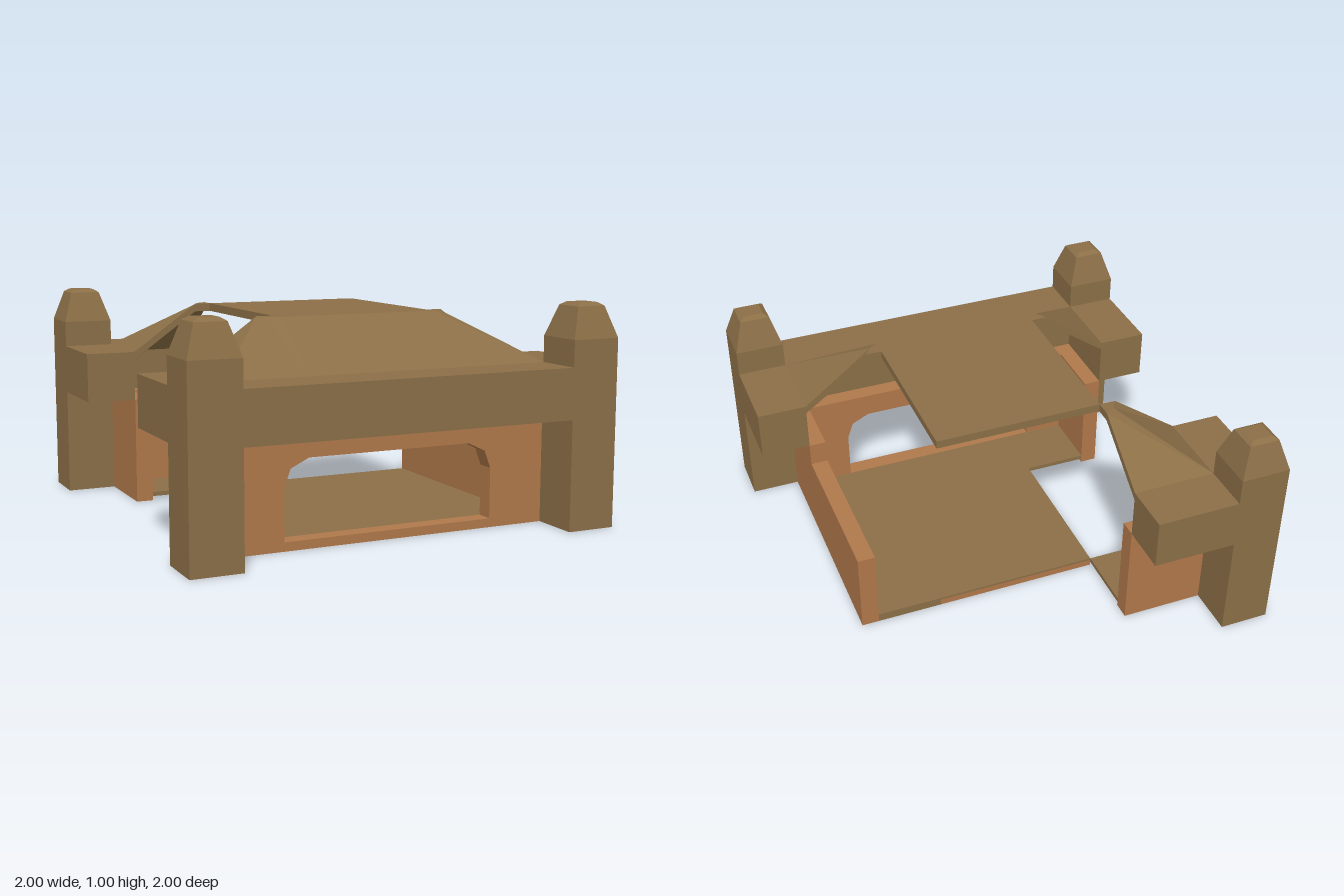
import * as THREE from 'three';

const brown = new THREE.MeshStandardMaterial({ color: 0x8b6f47, flatShading: true });
const clay = new THREE.MeshStandardMaterial({ color: 0xb0784a, flatShading: true });

// Tile lines: inner tile edge, wall inside, wall outside, outer edge
const T = 0.385, WI = 0.69, WO = 0.77, E = 1;
const EAVE = 0.73, RIDGE = 0.95, THICK = 0.037;

export function createModel() {
  const root = new THREE.Group();

  const add = (name, geometry, material) => {
    const mesh = new THREE.Mesh(geometry, material);
    mesh.name = name;
    root.add(mesh);
    return mesh;
  };

  // Box given by two opposite corners, in any order
  const box = (name, material, x0, x1, y0, y1, z0, z1) => {
    const g = new THREE.BoxGeometry(Math.abs(x1 - x0), Math.abs(y1 - y0), Math.abs(z1 - z0));
    g.translate((x0 + x1) / 2, (y0 + y1) / 2, (z0 + z1) / 2);
    return add(name, g, material);
  };

  // Roof panel: a polygon extruded straight down by the roof thickness
  const panel = (name, corners) => {
    let area = 0;
    corners.forEach(([x, , z], i) => {
      const [nx, , nz] = corners[(i + 1) % corners.length];
      area += x * nz - nx * z;
    });
    const top = area > 0 ? [...corners].reverse() : corners;
    const low = top.map(([x, y, z]) => [x, y - THICK, z]);
    const pos = [];
    const tri = (...p) => p.forEach((v) => pos.push(...v));
    const n = top.length;
    for (let i = 1; i < n - 1; i++) {
      tri(top[0], top[i], top[i + 1]);
      tri(low[0], low[i + 1], low[i]);
    }
    for (let i = 0; i < n; i++) {
      const j = (i + 1) % n;
      tri(top[i], low[i], low[j]);
      tri(top[i], low[j], top[j]);
    }
    const g = new THREE.BufferGeometry();
    g.setAttribute('position', new THREE.Float32BufferAttribute(pos, 3));
    g.computeVertexNormals();
    return add(name, g, brown);
  };

  // Square corner tower with a tapered, bevelled top
  const towerProfile = [[0, 0], [0.115, 0], [0.115, 0.85], [0.07, 0.99], [0.047, 1.005], [0, 1.005]]
    .map(([r, y]) => new THREE.Vector2(r * Math.SQRT2, y));

  // Three corner tiles: tower, side overhang, side wall, floor and hip roof
  for (const [sx, sz, label] of [[1, 1, 'frontLeft'], [-1, 1, 'frontRight'], [-1, -1, 'backRight']]) {
    const tower = add(label + 'Tower', new THREE.LatheGeometry(towerProfile, 4, Math.PI / 4), brown);
    tower.position.set(sx * 0.885, 0, sz * 0.885);

    box(label + 'SideOverhang', brown, sx * WO, sx * E, 0.5, EAVE, sz * T, sz * WO);
    box(label + 'SideWall', clay, sx * WI, sx * WO, 0, 0.5, sz * T, sz * WI);
    box(label + 'Floor', brown, sx * T, sx * WI, 0.02, 0.04, sz * T, sz * WI);

    const at = (x, y, z) => [sx * x, y, sz * z];
    panel(label + 'EndRoof', [at(WO, EAVE, WO), at(0.43, RIDGE, 0.43), at(T, RIDGE, 0.46), at(T, EAVE, WO)]);
    panel(label + 'SideRoof', [at(WO, EAVE, WO), at(0.43, RIDGE, 0.43), at(0.46, RIDGE, T), at(WO, EAVE, T)]);
    panel(label + 'RoofCrown', [at(T, RIDGE, T), at(T, RIDGE, 0.46), at(0.43, RIDGE, 0.43), at(0.46, RIDGE, T)]);
  }

  // Front wall with a wide opening that has clipped upper corners
  const wall = new THREE.Shape([[-WO, 0], [WO, 0], [WO, 0.5], [-WO, 0.5]].map((p) => new THREE.Vector2(...p)));
  const half = [[0.5, 0.04], [0.5, 0.27], [0.47, 0.35], [0.385, 0.39]];
  const outline = [...half, ...half.map(([x, y]) => [-x, y]).reverse()];
  wall.holes.push(new THREE.Path(outline.map((p) => new THREE.Vector2(...p))));
  const wallGeometry = new THREE.ExtrudeGeometry(wall, { depth: WO - WI, bevelEnabled: false });
  wallGeometry.translate(0, 0, WI);
  add('frontWall', wallGeometry, clay);
  box('frontOverhang', brown, -WO, WO, 0.5, EAVE, WO, E);

  // Back end of the lone corner tile
  box('backWall', clay, -WO, -T, 0, 0.5, -WO, -WI);
  box('backOverhang', brown, -WO, -T, 0.5, EAVE, -E, -WO);

  // Low wall and floor on the left side
  box('lowSideWall', clay, WI, WO, 0, 0.39, -T, T);
  box('sideFloor', brown, T, WI, 0, 0.04, -T, T);

  // Main floor over its base
  box('mainFloor', brown, -T, T, 0.03, 0.04, -T, WI);
  box('floorBase', clay, -T, T, 0, 0.03, -T, WI);

  // Flat roof and front slope
  panel('flatRoof', [[-T, RIDGE, -T], [T, RIDGE, -T], [T, RIDGE, 0.46], [-T, RIDGE, 0.46]]);
  panel('frontRoof', [[-T, RIDGE, 0.46], [T, RIDGE, 0.46], [T, EAVE, WO], [-T, EAVE, WO]]);

  return root;
}
